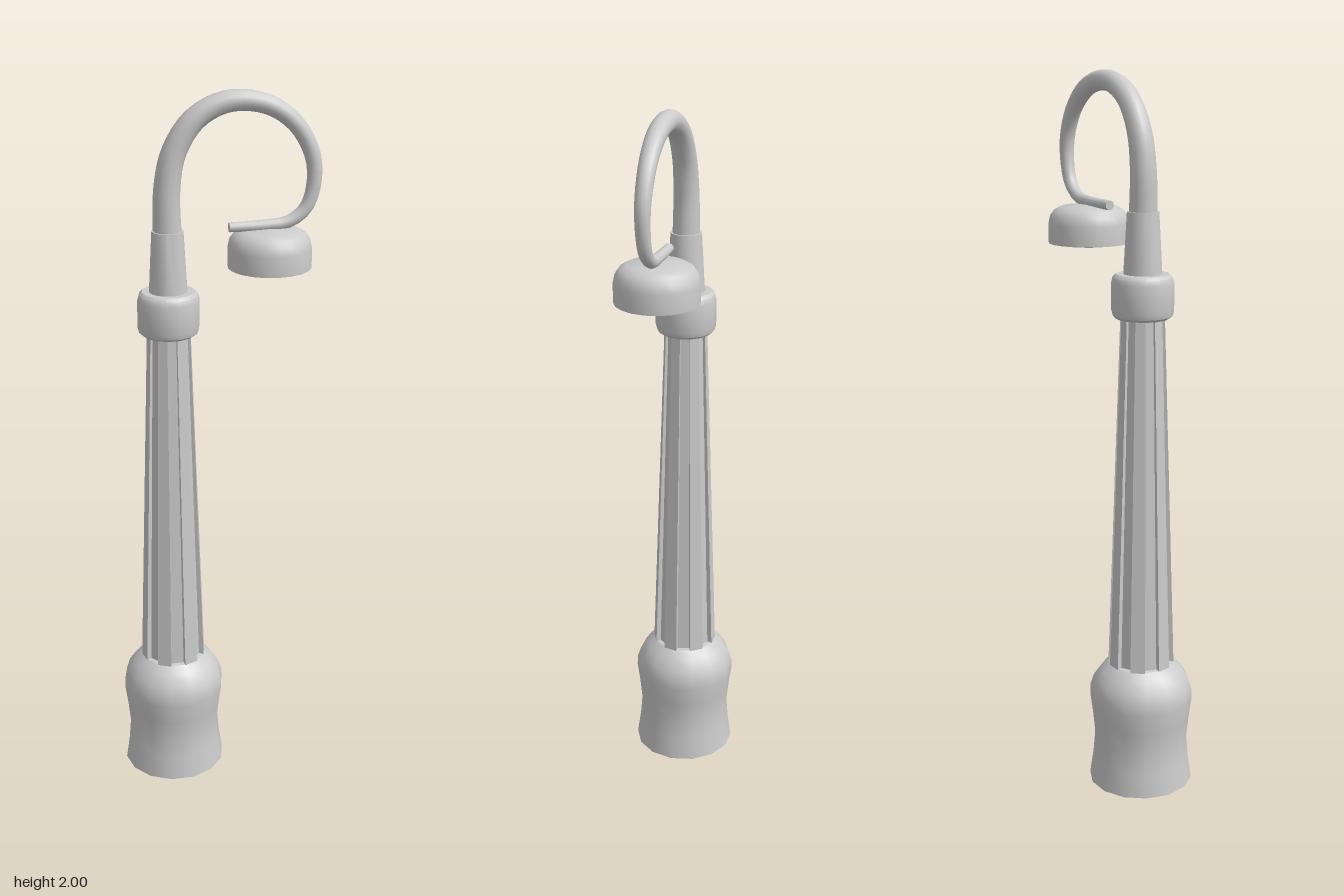
import * as THREE from 'three';
import { toCreasedNormals } from 'three/addons/utils/BufferGeometryUtils.js';

const POLE_X = -0.136, LAMP_X = 0.142;
const material = new THREE.MeshStandardMaterial({ color: 0xcccccc });

function addMesh(group, name, geometry, x = 0) {
  const mesh = new THREE.Mesh(geometry, material);
  mesh.name = name;
  mesh.position.x = x;
  group.add(mesh);
  return mesh;
}

// Turned part: profile of [radius, height], first corner on the x axis
function turned(profile, sides) {
  const points = profile.map(([r, y]) => new THREE.Vector2(r, y));
  return toCreasedNormals(new THREE.LatheGeometry(points, sides, Math.PI / 2), 0.6);
}

// Tapered shaft: every second face of a 14-sided column stands out as a rib
function flutedShaft(y0, y1, outer0, outer1, inner0, inner1) {
  const step = Math.PI / 7;
  const ring = (y, outer, inner) => {
    const pts = [];
    for (let i = 0; i < 7; i++) {
      const a = (3 + 2 * i) * step, b = a + step;
      for (const [angle, r] of [[a, inner], [a, outer], [b, outer], [b, inner]]) {
        pts.push([r * Math.cos(angle), y, -r * Math.sin(angle)]);
      }
    }
    return pts;
  };
  const low = ring(y0, outer0, inner0), high = ring(y1, outer1, inner1);
  const pos = [];
  for (let i = 0; i < low.length; i++) {
    const j = (i + 1) % low.length;
    pos.push(...low[i], ...low[j], ...high[j], ...low[i], ...high[j], ...high[i]);
    pos.push(0, y0, 0, ...low[j], ...low[i]);
    pos.push(0, y1, 0, ...high[i], ...high[j]);
  }
  const geometry = new THREE.BufferGeometry();
  geometry.setAttribute('position', new THREE.Float32BufferAttribute(pos, 3));
  geometry.computeVertexNormals();
  return geometry;
}

// Tube whose rings shrink along the path
function taperedTube(curve, segments, sides, radiusAt) {
  const geometry = new THREE.TubeGeometry(curve, segments, 1, sides);
  const p = geometry.attributes.position, v = new THREE.Vector3();
  for (let i = 0; i <= segments; i++) {
    const t = i / segments, centre = curve.getPointAt(t);
    for (let j = 0; j <= sides; j++) {
      const k = i * (sides + 1) + j;
      v.fromBufferAttribute(p, k).sub(centre).multiplyScalar(radiusAt(t)).add(centre);
      p.setXYZ(k, v.x, v.y, v.z);
    }
  }
  return geometry;
}

export function createModel() {
  const model = new THREE.Group();
  model.name = 'streetLamp';

  // Waisted foot
  addMesh(model, 'base', turned([
    [0, 0], [0.148, 0], [0.138, 0.07], [0.133, 0.13], [0.139, 0.19], [0.147, 0.25],
    [0.146, 0.28], [0.136, 0.31], [0.115, 0.34], [0.092, 0.36], [0, 0.37],
  ], 14), POLE_X);

  addMesh(model, 'flutedShaft', flutedShaft(0.35, 1.37, 0.094, 0.06, 0.08, 0.053), POLE_X);

  // Rounded collar and the sleeve above it
  addMesh(model, 'collar', turned([
    [0, 1.355], [0.072, 1.355], [0.081, 1.362], [0.085, 1.376], [0.085, 1.452],
    [0.081, 1.467], [0.072, 1.475], [0, 1.475],
  ], 14), POLE_X);
  addMesh(model, 'sleeve', turned([
    [0, 1.465], [0.053, 1.465], [0.043, 1.64], [0, 1.64],
  ], 14), POLE_X);

  // Curled arm
  const path = new THREE.CatmullRomCurve3([
    [POLE_X, 1.6], [POLE_X, 1.75], [-0.117, 1.845], [-0.068, 1.923], [-0.005, 1.963],
    [0.06, 1.974], [0.145, 1.955], [0.215, 1.9], [0.256, 1.82], [0.26, 1.75],
    [0.24, 1.685], [0.195, 1.65], [0.13, 1.642], [0.03, 1.641],
  ].map(([x, y]) => new THREE.Vector3(x, y, 0)));
  const radiusAt = (t) => THREE.MathUtils.lerp(0.039, 0.013, t);
  addMesh(model, 'arm', taperedTube(path, 48, 14, radiusAt));
  const tip = addMesh(model, 'armTip', new THREE.CircleGeometry(0.013, 14), 0.03);
  tip.position.y = 1.641;
  tip.rotation.y = -Math.PI / 2;

  // Hollow lamp head with a shallow glass dome beneath
  addMesh(model, 'lampShade', turned([
    [0, 1.56], [0.09, 1.56], [0.092, 1.528], [0.114, 1.528], [0.114, 1.582],
    [0.109, 1.604], [0.097, 1.62], [0.078, 1.63], [0, 1.635],
  ], 20), LAMP_X);
  const dome = [];
  for (let i = 0; i <= 6; i++) {
    const a = (i / 6) * Math.PI / 2;
    dome.push([0.077 * Math.sin(a), 1.56 - 0.047 * Math.cos(a)]);
  }
  addMesh(model, 'lampGlass', turned(dome, 20), LAMP_X);

  return model;
}
